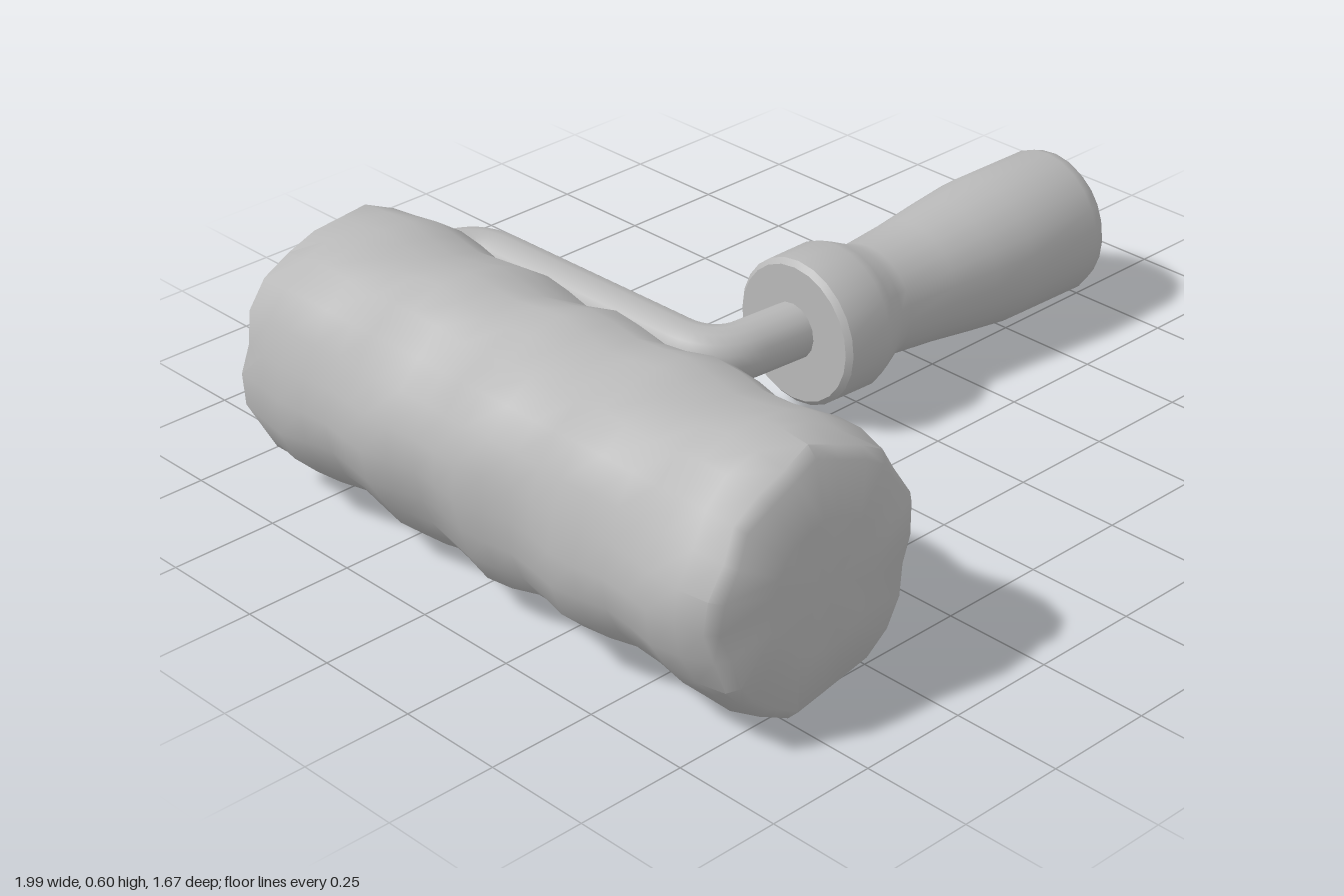
import * as THREE from 'three';
import { mergeVertices, toCreasedNormals } from 'three/addons/utils/BufferGeometryUtils.js';

const grey = new THREE.MeshStandardMaterial({ color: 0xb8b8b8 });
grey.name = 'grey';

// Lathe around y, then weld seams so that vertices can be moved safely
function welded(profile, sides) {
  const g = new THREE.LatheGeometry(profile.map(([r, y]) => new THREE.Vector2(r, y)), sides);
  g.deleteAttribute('uv');
  g.deleteAttribute('normal');
  return mergeVertices(g, 1e-4);
}

function part(name, geometry) {
  const mesh = new THREE.Mesh(geometry, grey);
  mesh.name = name;
  return mesh;
}

// Fluffy sleeve: wavy along its length, ragged around its rims
function makeSleeve() {
  const zBack = -0.62, zFront = 0.79, rows = 20;
  const profile = [[0, zBack], [0.13, zBack + 0.005], [0.25, zBack - 0.008]];
  for (let i = 0; i <= rows; i++) {
    const z = zBack + 0.01 + (zFront - zBack - 0.01) * i / rows;
    const wave = 0.286 + 0.01 * Math.cos((z - 0.1) * Math.PI * 2 / 0.285);
    profile.push([i === 0 ? 0.277 : wave, z]);
  }
  profile.push([0.255, 0.812], [0.14, 0.828], [0, 0.832]);
  const g = welded(profile, 24);
  g.rotateX(Math.PI / 2);
  const p = g.attributes.position;
  for (let i = 0; i < p.count; i++) {
    const x = p.getX(i), y = p.getY(i), z = p.getZ(i);
    const r = Math.hypot(x, y), a = Math.atan2(y, x);
    if (r < 0.01) continue;
    const rim = r > 0.2 && (z < -0.55 || z > 0.7) ? 1 : 0;
    const tuft = 0.006 * Math.sin(5 * a + 7 * z) + (0.003 + 0.004 * rim) * Math.sin(9 * a - 16 * z);
    const k = r > 0.2 ? 1 + tuft / r : 1;
    const lean = z > 0.7 ? -0.025 * y - 0.02 * x : 0;
    p.setXYZ(i, x * k, y * k, z + lean + rim * 0.007 * Math.sin(7 * a + 1));
  }
  g.translate(-0.692, 0.297, 0);
  return part('rollerSleeve', toCreasedNormals(g, 0.8));
}

// Bent rod with rounded corners
function makeRod() {
  const pts = [
    [-0.70, 0.26, -0.55], [-0.70, 0.26, -0.775], [-0.195, 0.26, -0.775],
    [-0.14, 0.225, -0.055], [0.13, 0.214, -0.05],
  ].map(c => new THREE.Vector3(...c));
  const path = new THREE.CurvePath();
  let last = pts[0];
  for (let i = 1; i < pts.length - 1; i++) {
    const toward = (q) => pts[i].clone().add(q.clone().sub(pts[i]).setLength(0.1));
    const start = toward(pts[i - 1]), end = toward(pts[i + 1]);
    path.add(new THREE.LineCurve3(last, start));
    path.add(new THREE.QuadraticBezierCurve3(start, pts[i], end));
    last = end;
  }
  path.add(new THREE.LineCurve3(last, pts[pts.length - 1]));
  return part('rod', new THREE.TubeGeometry(path, 90, 0.066, 16, false));
}

// Turned grip with a collar, its butt cut slightly askew
function makeHandle() {
  const g = welded([
    [0, 0], [0.16, 0], [0.172, 0.012], [0.174, 0.125], [0.162, 0.155],
    [0.142, 0.2], [0.133, 0.235], [0.145, 0.37], [0.16, 0.49], [0.172, 0.6],
    [0.173, 0.83], [0.163, 0.86], [0.138, 0.885], [0, 0.888],
  ], 24);
  g.rotateZ(-Math.PI / 2);
  const p = g.attributes.position;
  for (let i = 0; i < p.count; i++) {
    if (p.getX(i) > 0.7) p.setX(i, p.getX(i) - 0.08 * p.getZ(i));
  }
  g.rotateZ(-0.018);
  g.translate(0.097, 0.21, -0.046);
  return part('handle', toCreasedNormals(g, 0.75));
}

export function createModel() {
  const model = new THREE.Group();
  model.name = 'paintRoller';
  model.add(makeSleeve(), makeRod(), makeHandle());
  return model;
}
